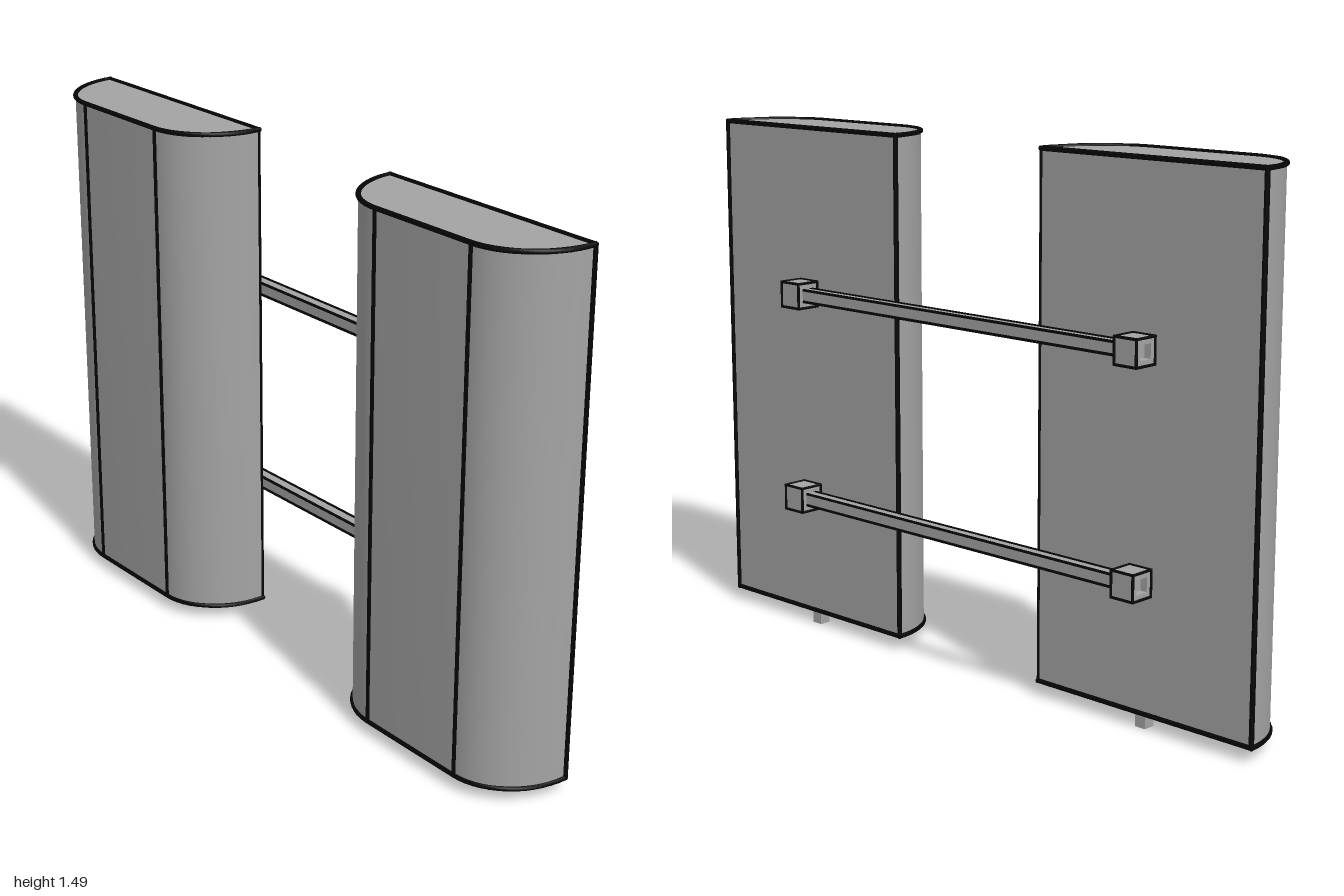
import * as THREE from 'three';
import { mergeGeometries, toCreasedNormals } from 'three/addons/utils/BufferGeometryUtils.js';

const grey = new THREE.MeshStandardMaterial({ color: 0xa4a4a4 });
grey.name = 'grey';
const black = new THREE.MeshStandardMaterial({ color: 0x050505 });
black.name = 'black';

const V = (x, y, z) => new THREE.Vector3(x, y, z);

function addMesh(parent, name, geometry, material) {
  const mesh = new THREE.Mesh(geometry, material);
  mesh.name = name;
  parent.add(mesh);
  return mesh;
}

// Thin round strip from a to b, slightly overlapping its neighbours
function strip(a, b, r) {
  const dir = b.clone().sub(a);
  const g = new THREE.CylinderGeometry(r, r, dir.length() + r, 8);
  g.applyQuaternion(new THREE.Quaternion().setFromUnitVectors(V(0, 1, 0), dir.normalize()));
  const mid = a.clone().add(b).multiplyScalar(0.5);
  return g.translate(mid.x, mid.y, mid.z);
}

// Strips along the edges of a box; longOnly keeps just those running along z
function boxEdges(size, r, longOnly) {
  const parts = [];
  const h = size.clone().multiplyScalar(0.5);
  for (const s of [-1, 1]) for (const t of [-1, 1]) {
    parts.push(strip(V(s * h.x, t * h.y, -h.z), V(s * h.x, t * h.y, h.z), r));
    if (longOnly) continue;
    parts.push(strip(V(s * h.x, -h.y, t * h.z), V(s * h.x, h.y, t * h.z), r));
    parts.push(strip(V(-h.x, s * h.y, t * h.z), V(h.x, s * h.y, t * h.z), r));
  }
  return mergeGeometries(parts);
}

const FLAT = 0.066, BACK = -0.149, HALF = 0.36, BOTTOM = 0.041, TOP = 1.487;
const EDGE = 0.007, ROUND_X = FLAT - BACK, ROUND_Z = 0.19;

// Half-rounded outline in x and z: flat on +x, rounded towards -x
function outline() {
  const pts = [];
  const n = 14;
  for (let i = 0; i <= n; i++) {
    const a = (i / n) * Math.PI / 2;
    pts.push(new THREE.Vector2(FLAT - ROUND_X * Math.sin(a), HALF - ROUND_Z + ROUND_Z * Math.cos(a)));
  }
  return pts.concat(pts.map(p => new THREE.Vector2(p.x, -p.y)).reverse());
}

function makePanel(name, innerSign) {
  const panel = new THREE.Group();
  panel.name = name;
  const pts = outline();
  const body = new THREE.ExtrudeGeometry(new THREE.Shape(pts), { depth: TOP - BOTTOM, bevelEnabled: false });
  body.rotateX(-Math.PI / 2).translate(0, BOTTOM, 0);
  addMesh(panel, 'panelBody', toCreasedNormals(body, 0.5), grey);

  // Trim around both ends
  const trim = [];
  for (const y of [BOTTOM, TOP]) {
    pts.forEach((p, i) => {
      const q = pts[(i + 1) % pts.length];
      trim.push(strip(V(p.x, y, p.y), V(q.x, y, q.y), EDGE));
    });
  }
  // Upright trim at the corners and where the curves meet the back
  for (const s of [-1, 1]) {
    const r = s === innerSign ? 0.004 : EDGE;
    trim.push(strip(V(FLAT, BOTTOM, s * HALF), V(FLAT, TOP, s * HALF), r));
    const z = s * (HALF - ROUND_Z);
    trim.push(strip(V(BACK, BOTTOM, z), V(BACK, TOP, z), 0.006));
  }
  addMesh(panel, 'panelTrim', mergeGeometries(trim), black);

  // Small peg underneath
  addMesh(panel, 'peg', new THREE.BoxGeometry(0.034, 0.045, 0.034), grey).position.set(0.048, 0.0225, 0);
  return panel;
}

// Square collar with a square hole along z
function makeBracket() {
  const bracket = new THREE.Group();
  bracket.name = 'bracket';
  const size = 0.072, h = size / 2, k = 0.02;
  const shape = new THREE.Shape([[-h, -h], [h, -h], [h, h], [-h, h]].map(p => new THREE.Vector2(...p)));
  shape.holes.push(new THREE.Path([[-k, -k], [-k, k], [k, k], [k, -k]].map(p => new THREE.Vector2(...p))));
  const g = new THREE.ExtrudeGeometry(shape, { depth: size, bevelEnabled: false });
  addMesh(bracket, 'bracketBody', g.translate(0, 0, -h), grey);
  addMesh(bracket, 'bracketTrim', boxEdges(V(size, size, size), 0.004), black);
  return bracket;
}

export function createModel() {
  const model = new THREE.Group();
  model.name = 'pairedPanels';

  // Two matching panels
  for (const s of [1, -1]) {
    const panel = makePanel(s > 0 ? 'frontPanel' : 'backPanel', s > 0 ? 0 : 1);
    panel.position.z = s * 0.632;
    model.add(panel);
  }

  // Two connecting rods, each held by a bracket at either end
  for (const y of [0.403, 1.01]) {
    const rail = new THREE.Group();
    rail.name = y > 0.7 ? 'upperRail' : 'lowerRail';
    rail.position.set(0.111, y, 0);
    addMesh(rail, 'rod', new THREE.BoxGeometry(0.034, 0.034, 1.3), grey);
    addMesh(rail, 'rodTrim', boxEdges(V(0.034, 0.034, 1.22), 0.004, true), black);
    for (const s of [-1, 1]) {
      const bracket = makeBracket();
      bracket.position.z = s * 0.632;
      rail.add(bracket);
    }
    model.add(rail);
  }
  return model;
}
